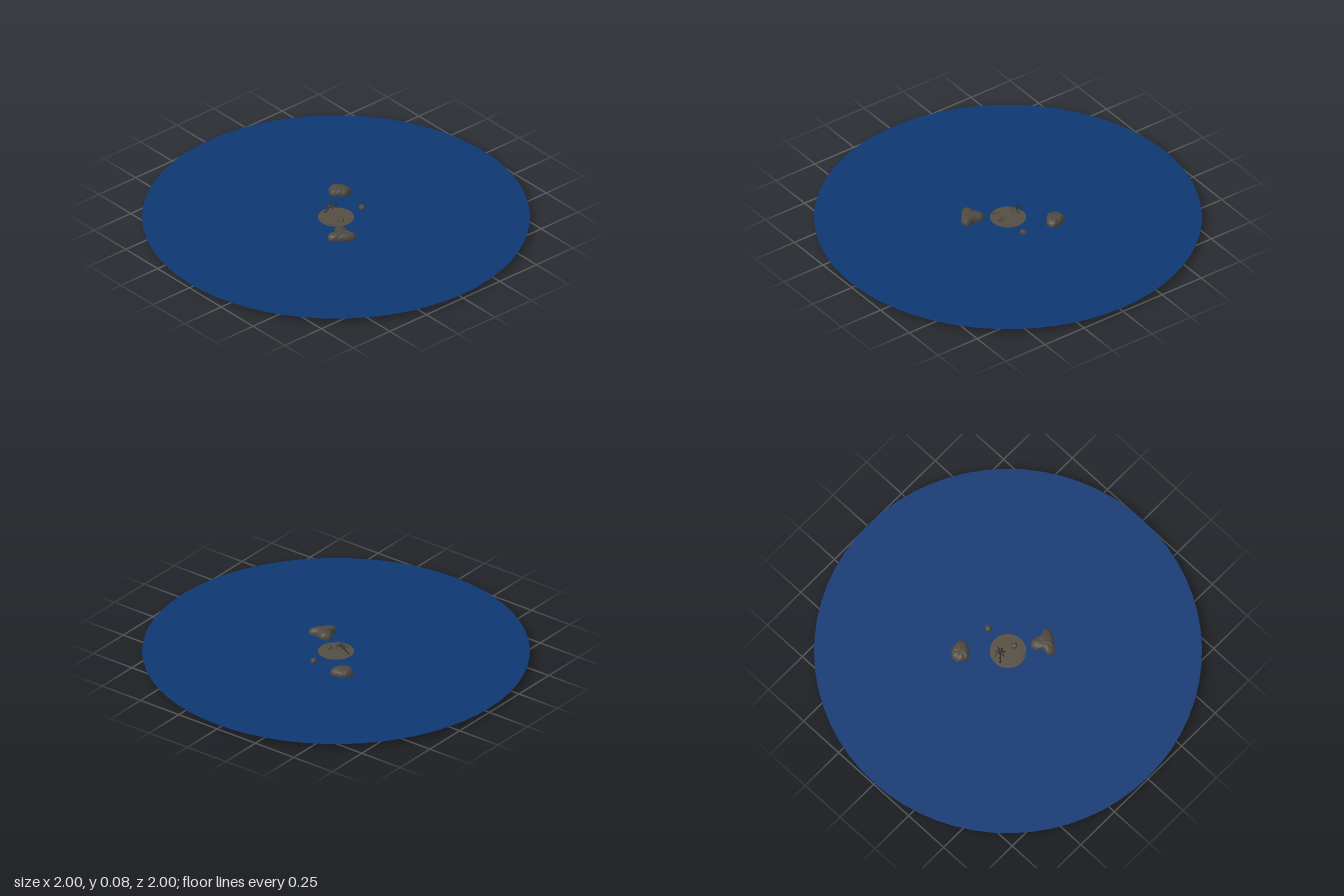
import * as THREE from 'three';

const mat = (name, color, side = THREE.FrontSide) => {
  const m = new THREE.MeshStandardMaterial({ color, side });
  m.name = name;
  return m;
};

// Rock lofted from a closed outline; each section is [y, scale about the outline's centre].
function rockGeometry(outline, sections, sides = 36) {
  const curve = new THREE.CatmullRomCurve3(
    outline.map(([x, z]) => new THREE.Vector3(x, 0, z)), true, 'centripetal');
  const ring = curve.getSpacedPoints(sides).slice(0, sides);
  const c = ring.reduce((s, p) => s.add(p), new THREE.Vector3()).divideScalar(sides);
  const pos = [], index = [];
  sections.forEach(([y, s], j) => {
    ring.forEach((p, i) => {
      const bump = 1 + 0.03 * Math.sin(i * 1.9 + j * 2.3);
      const edge = j === 0 || j === sections.length - 1 ? 0 : 1;
      pos.push(c.x + (p.x - c.x) * s * bump, y + edge * 0.0015 * Math.sin(i * 1.3 + j), c.z + (p.z - c.z) * s * bump);
      if (j === sections.length - 1) return;
      const a = j * sides + i, b = j * sides + (i + 1) % sides;
      index.push(a, a + sides, b, b, a + sides, b + sides);
    });
  });
  const g = new THREE.BufferGeometry();
  g.setAttribute('position', new THREE.Float32BufferAttribute(pos, 3));
  g.setIndex(index);
  g.computeVertexNormals();
  return g;
}

export function createModel() {
  const model = new THREE.Group();
  model.name = 'islet';
  const water = mat('water blue', 0x0e3772, THREE.DoubleSide);
  const sand = mat('sand brown', 0x544d43, THREE.DoubleSide);
  const stone = mat('stone grey', 0x4d483f);
  const bark = mat('bark brown', 0x352c22);
  const leaf = mat('leaf dark', 0x2b2c20, THREE.DoubleSide);
  const add = (name, geometry, material, parent = model) => {
    const m = new THREE.Mesh(geometry, material);
    m.name = name;
    parent.add(m);
    return m;
  };

  // Sea surface
  const sea = add('sea', new THREE.CircleGeometry(1, 64), water);
  sea.rotation.x = -Math.PI / 2;
  sea.position.y = 0.0238;

  // Shallow sand mound, above the water only near its middle
  add('sandMound', new THREE.LatheGeometry(
    [[0.3, 0.018], [0.2, 0.0208], [0.094, 0.0238], [0.05, 0.0252], [0, 0.0256]]
      .map(([r, y]) => new THREE.Vector2(r, y)), 48), sand);

  // Two large rocks
  const profile = [[0, 0], [0, 0.6], [0.01, 0.86], [0.022, 0.98], [0.036, 0.97],
    [0.048, 0.87], [0.054, 0.7], [0.057, 0.4], [0.058, 0]];
  add('largeRock', rockGeometry([[0.1, 0.065], [0.14, 0.048], [0.17, 0.062], [0.225, 0.055],
    [0.23, 0.09], [0.2, 0.135], [0.155, 0.183], [0.125, 0.165], [0.13, 0.13], [0.1, 0.1]], profile), stone);
  add('mediumRock', rockGeometry([[-0.23, -0.175], [-0.2, -0.212], [-0.13, -0.218],
    [-0.118, -0.175], [-0.14, -0.145], [-0.17, -0.115], [-0.22, -0.138]], profile), stone);

  // Small stones: x, z, radius, height above the ground
  [[0.02, -0.16, 0.019, 0.018], [0.045, 0.003, 0.016, 0.014], [0.04, 0.07, 0.01, 0.009],
    [0.026, 0.006, 0.007, 0.006]].forEach(([x, z, r, h], k) => {
    const outline = Array.from({ length: 7 }, (_, i) => {
      const t = i / 7 * Math.PI * 2, q = r * (1 + 0.18 * Math.sin(i * 2.7 + k));
      return [x + q * Math.cos(t), z + q * Math.sin(t)];
    }).reverse().map(([a, b]) => [a, 2 * z - b]).reverse().map(([a, b]) => [a, 2 * z - b]);
    const y = 0.024;
    add('smallStone', rockGeometry(outline, [[y - 0.012, 0], [y - 0.012, 0.6], [y, 1],
      [y + h * 0.6, 0.85], [y + h * 0.9, 0.55], [y + h, 0]], 14), stone);
  });

  // Leaning palm
  const palm = new THREE.Group();
  palm.name = 'palm';
  model.add(palm);
  const crown = new THREE.Vector3(-0.046, 0.077, -0.013);
  const trunk = new THREE.CatmullRomCurve3([new THREE.Vector3(-0.072, 0.022, 0.014),
    new THREE.Vector3(-0.062, 0.042, 0.006), new THREE.Vector3(-0.051, 0.062, -0.006), crown]);
  add('trunk', new THREE.TubeGeometry(trunk, 12, 0.003, 7), bark, palm);
  const foot = add('trunkFoot', new THREE.ConeGeometry(0.007, 0.014, 7), bark, palm);
  foot.position.set(-0.071, 0.03, 0.013);

  // Drooping fronds: a tapered strip bent downwards
  const fronds = 7;
  for (let i = 0; i < fronds; i++) {
    const length = 0.034 + 0.004 * Math.sin(i * 2.1);
    const g = new THREE.PlaneGeometry(1, 1, 6, 2).rotateX(-Math.PI / 2);
    const p = g.attributes.position;
    for (let v = 0; v < p.count; v++) {
      const t = p.getX(v) + 0.5, w = p.getZ(v);
      const half = 0.009 * Math.sin(Math.PI * (0.12 + 0.85 * t));
      p.setXYZ(v, t * length, 0.018 * t - 0.034 * t * t - Math.abs(w) * 0.005, w * half);
    }
    g.computeVertexNormals();
    const f = add('frond', g, leaf, palm);
    f.position.copy(crown);
    f.rotation.y = i / fronds * Math.PI * 2 + 0.25;
  }
  return model;
}
